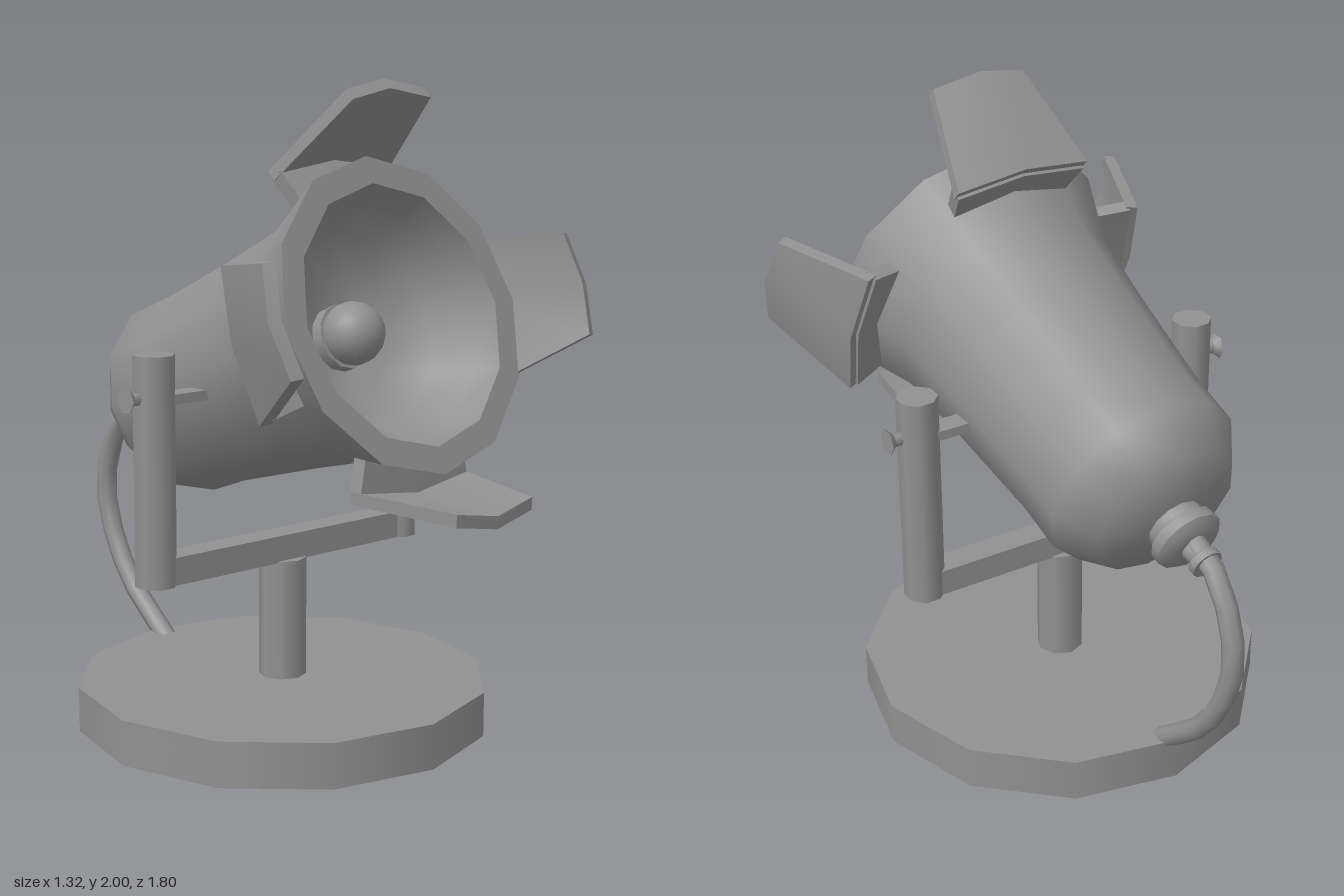
import * as THREE from 'three';
import { toCreasedNormals } from 'three/addons/utils/BufferGeometryUtils.js';

const paint = new THREE.MeshStandardMaterial({ color: 0x919191 });
const SIDES = 12;

function add(parent, name, geometry, x = 0, y = 0, z = 0) {
  const mesh = new THREE.Mesh(geometry, paint);
  mesh.name = name;
  mesh.position.set(x, y, z);
  parent.add(mesh);
  return mesh;
}

const lathe = (points) =>
  new THREE.LatheGeometry(points.map(([r, y]) => new THREE.Vector2(r, y)), SIDES);

// Tapered plate running from (y0, r0) to (y1, r1), folded along its middle
function plate([y0, r0, w0], [y1, r1, w1], thickness) {
  const geometry = new THREE.BoxGeometry(2, 1, thickness, 2, 1, 1);
  const p = geometry.attributes.position;
  const length = Math.hypot(y1 - y0, r1 - r0);
  const dy = (y1 - y0) / length, dr = (r1 - r0) / length;
  for (let i = 0; i < p.count; i++) {
    const s = p.getX(i), k = p.getY(i) + 0.5, d = p.getZ(i);
    p.setXYZ(i,
      s * (w0 + (w1 - w0) * k),
      y0 + (y1 - y0) * k - dr * d,
      r0 + (r1 - r0) * k + dy * d - 0.03 * Math.abs(s));
  }
  geometry.computeVertexNormals();
  return geometry;
}

// Lamp head: its own +y is the direction of the light
function createLamp() {
  const lamp = new THREE.Group();
  lamp.name = 'lampHead';
  lamp.position.set(0, 1.335, 0.545);
  lamp.rotation.x = 1.217;

  add(lamp, 'housing', lathe([
    [0, -1.2], [0.1, -1.19], [0.24, -1.145], [0.325, -1.02], [0.325, -0.86],
    [0.355, -0.5], [0.383, -0.24], [0.475, 0],
  ]));
  add(lamp, 'rim', lathe([[0.475, 0], [0.393, 0]]));
  add(lamp, 'reflector', lathe([
    [0.393, 0], [0.365, -0.09], [0.3, -0.2], [0.18, -0.28], [0, -0.32],
  ]));

  // Bulb and its holder
  add(lamp, 'bulbHolder', new THREE.CylinderGeometry(0.1, 0.1, 0.07, SIDES), 0, -0.295);
  add(lamp, 'bulb', new THREE.SphereGeometry(0.096, 16, 12), 0, -0.225);

  // Stepped cable socket at the back
  add(lamp, 'cableSocket', toCreasedNormals(lathe([
    [0, -1.36], [0.05, -1.36], [0.05, -1.335], [0.038, -1.325], [0.042, -1.29],
    [0.085, -1.285], [0.11, -1.265], [0.11, -1.23], [0.092, -1.22], [0.092, -1.15],
  ]), 0.6));

  // Four barn doors, each a flap with a lip reaching the housing
  for (let i = 0; i < 4; i++) {
    const door = new THREE.Group();
    door.name = 'barnDoor';
    door.rotation.y = i * Math.PI / 2;
    add(door, 'flap', plate([-0.165, 0.508, 0.23], [0.148, 0.643, 0.16], 0.038));
    add(door, 'lip', plate([-0.115, 0.395, 0.2], [-0.15, 0.505, 0.225], 0.045));
    lamp.add(door);
  }
  return lamp;
}

// Stand: post and U-shaped yoke, turned slightly about the vertical
function createStand() {
  const stand = new THREE.Group();
  stand.name = 'stand';
  stand.position.set(-0.007, 0, 0.035);
  stand.rotation.y = -0.045;
  add(stand, 'post', new THREE.CylinderGeometry(0.075, 0.075, 0.4, 8), 0, 0.32);
  add(stand, 'crossbar', new THREE.BoxGeometry(0.98, 0.085, 0.09), 0, 0.558);
  for (const side of [-1, 1]) {
    add(stand, 'arm', new THREE.CylinderGeometry(0.064, 0.064, 0.695, 8), side * 0.495, 0.8625)
      .rotation.y = Math.PI / 8;
    add(stand, 'pivotPlate', new THREE.BoxGeometry(0.18, 0.03, 0.07), side * 0.4, 1.075);
    // Tightening knob
    add(stand, 'knobShaft', new THREE.CylinderGeometry(0.02, 0.02, 0.08, 6), side * 0.55, 1.085)
      .rotation.z = Math.PI / 2;
    add(stand, 'knob', new THREE.CylinderGeometry(0.042, 0.022, 0.02, 6), side * 0.588, 1.085)
      .rotation.z = -side * Math.PI / 2;
  }
  return stand;
}

export function createModel() {
  const model = new THREE.Group();
  model.name = 'spotlight';

  add(model, 'base', new THREE.CylinderGeometry(0.647, 0.647, 0.14, SIDES), -0.014, 0.07, 0.043);
  model.add(createStand(), createLamp());

  // Cable hanging from the socket down to the base
  const path = new THREE.CatmullRomCurve3([
    [0.91, -0.66], [0.885, -0.73], [0.78, -0.82], [0.6, -0.867],
    [0.42, -0.82], [0.27, -0.72], [0.17, -0.605], [0.12, -0.545],
  ].map(([y, z]) => new THREE.Vector3(0, y, z)));
  add(model, 'cable', new THREE.TubeGeometry(path, 9, 0.034, 8));

  return model;
}
